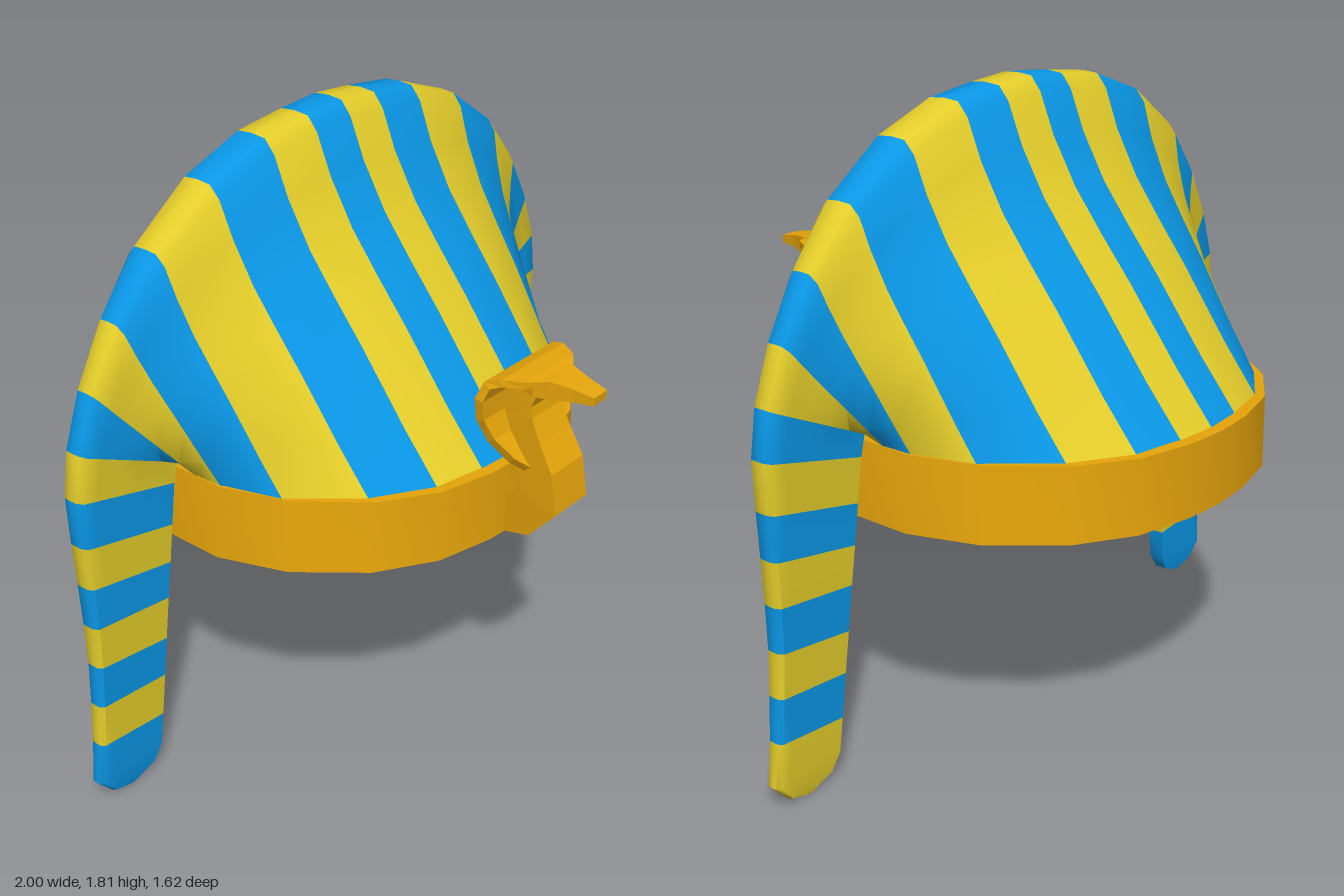
import * as THREE from 'three';
import { toCreasedNormals } from 'three/addons/utils/BufferGeometryUtils.js';

const ZC = -0.11; // depth of the ridge plane

function material(name, color, side = THREE.FrontSide) {
  const m = new THREE.MeshStandardMaterial({ color, side });
  m.name = name;
  return m;
}

// Striped cloth: [ridge x, ridge y, lower x, lower y, lower half depth, ridge half depth]
const RIBS = [
  [0, 1.81, 0, 0.94, 0.67, 0.08],
  [0.135, 1.80, 0.13, 0.94, 0.66, 0.08],
  [0.30, 1.78, 0.285, 0.94, 0.63, 0.08],
  [0.50, 1.71, 0.445, 0.94, 0.53, 0.075],
  [0.69, 1.58, 0.59, 0.94, 0.36, 0.065],
  [0.825, 1.43, 0.645, 0.94, 0.19, 0.048],
  [0.92, 1.27, 0.65, 0.945, 0.10, 0.04],
  [0.975, 1.12, 0.66, 0.97, 0.038, 0.038],
  [0.995, 0.99, 0.672, 0.91, 0.036, 0.036],
  [0.99, 0.85, 0.687, 0.785, 0.034, 0.034],
  [0.983, 0.72, 0.701, 0.67, 0.033, 0.033],
  [0.977, 0.59, 0.716, 0.56, 0.032, 0.032],
  [0.974, 0.46, 0.731, 0.43, 0.030, 0.030],
  [0.979, 0.33, 0.745, 0.31, 0.028, 0.028],
  [0.986, 0.20, 0.76, 0.18, 0.026, 0.026],
  [1, 0.07, 0.772, 0.08, 0.024, 0.024],
  [0.955, 0.02, 0.80, 0.03, 0.02, 0.02],
  [0.89, 0, 0.87, 0, 0.015, 0.015],
];

// Half of one rib: ridge edge first, then the slope towards the band
function ribSide(rib) {
  const [rx, ry, bx, by, b, h] = rib;
  const slope = [[0.08, 0.18], [0.21, 0.33], [0.36, 0.46], [0.53, 0.6], [0.79, 0.83], [1, 1]];
  const steps = [[0, 0], [h * 0.6, 0.005], [h, 0.05], ...slope.map(([u, v]) => [h + (b - h) * u, v])];
  return steps.map(([d, v]) => [rx + (bx - rx) * v, ry + (by - ry) * v, d]);
}

function headcloth(materials) {
  const last = RIBS.length - 1;
  const pos = [], faces = [[], []];
  let n = 0;
  for (let k = -last; k <= last; k++) {
    const side = ribSide(RIBS[Math.abs(k)]);
    const s = k < 0 ? -1 : 1;
    const loop = [
      ...side.slice().reverse().map(([x, y, d]) => [s * x, y, ZC + d]),
      ...side.slice(1).map(([x, y, d]) => [s * x, y, ZC - d]),
    ];
    n = loop.length;
    loop.forEach(p => pos.push(...p));
  }
  for (let k = -last; k < last; k++) {
    const a = (k + last) * n, b = a + n;
    const inLappet = k >= 7 || k < -7;
    // the last three rows at each tip share one colour
    const stripe = Math.max(-15, Math.min(14, k));
    const list = faces[Math.abs(stripe) % 2];
    for (let j = 0; j < (inLappet ? n : n - 1); j++) {
      const q = (j + 1) % n;
      list.push(a + j, b + j, b + q, a + j, b + q, a + q);
    }
  }
  let geo = new THREE.BufferGeometry();
  geo.setAttribute('position', new THREE.Float32BufferAttribute(pos, 3));
  geo.setIndex([...faces[0], ...faces[1]]);
  geo.addGroup(0, faces[0].length, 0);
  geo.addGroup(faces[0].length, faces[1].length, 1);
  geo = toCreasedNormals(geo, 0.8);
  return new THREE.Mesh(geo, materials);
}

// Ring around the brow, slightly wider at the bottom
function headband(mat) {
  const quarter = [[0, 0.70], [0.13, 0.69], [0.3, 0.65], [0.46, 0.55], [0.6, 0.38], [0.67, 0.19]];
  const right = [...quarter, ...quarter.slice().reverse().map(([x, z]) => [x, -z])];
  const ring = [...right, ...right.slice(1, -1).reverse().map(([x, z]) => [-x, z])];
  const outline = f => ring.map(([x, z]) => new THREE.Vector2(x * f, z * f));
  const shape = new THREE.Shape(outline(1).reverse());
  shape.holes.push(new THREE.Path(outline(0.95)));
  let geo = new THREE.ExtrudeGeometry(shape, { depth: 0.21, bevelEnabled: false });
  geo.rotateX(-Math.PI / 2);
  const p = geo.attributes.position;
  for (let i = 0; i < p.count; i++) p.setX(i, p.getX(i) * (1.006 - 0.14 * p.getY(i)));
  geo.translate(0, 0.74, ZC);
  geo = toCreasedNormals(geo, 0.6);
  return new THREE.Mesh(geo, mat);
}

// Four-sided tube along a path in the yz plane: [z, y, half width, half thickness]
function loft(path, mat, name) {
  const pos = [], idx = [];
  path.forEach(([z, y, w, t], i) => {
    const p = path[Math.max(i - 1, 0)], q = path[Math.min(i + 1, path.length - 1)];
    const len = Math.hypot(q[0] - p[0], q[1] - p[1]);
    const ny = -(q[0] - p[0]) / len * t, nz = (q[1] - p[1]) / len * t;
    pos.push(-w, y + ny, z + nz, w, y + ny, z + nz, w, y - ny, z - nz, -w, y - ny, z - nz);
  });
  for (let i = 0; i < path.length - 1; i++) {
    for (let j = 0; j < 4; j++) {
      const a = i * 4 + j, b = i * 4 + (j + 1) % 4;
      idx.push(a, b, b + 4, a, b + 4, a + 4);
    }
  }
  const e = (path.length - 1) * 4;
  idx.push(0, 2, 1, 0, 3, 2, e, e + 1, e + 2, e, e + 2, e + 3);
  let geo = new THREE.BufferGeometry();
  geo.setAttribute('position', new THREE.Float32BufferAttribute(pos, 3));
  geo.setIndex(idx);
  geo = geo.toNonIndexed();
  geo.computeVertexNormals();
  const mesh = new THREE.Mesh(geo, mat);
  mesh.name = name;
  return mesh;
}

export function createModel() {
  const blue = material('blue cloth', 0x0a97e6, THREE.DoubleSide);
  const yellow = material('yellow cloth', 0xe4cd2a, THREE.DoubleSide);
  const gold = material('gold', 0xe6a50a);

  const model = new THREE.Group();
  model.name = 'stripedHeaddress';

  // Even rows are yellow on the left of centre and blue on the right
  const cloth = headcloth([yellow, blue]);
  cloth.name = 'stripedHeadcloth';
  const band = headband(gold);
  band.name = 'headband';

  // Rearing snake ornament on the brow
  const snake = new THREE.Group();
  snake.name = 'snakeOrnament';
  snake.add(
    loft([
      [0.57, 0.785, 0.075, 0.045], [0.63, 0.81, 0.075, 0.06], [0.69, 0.87, 0.075, 0.058],
      [0.675, 0.95, 0.073, 0.055], [0.63, 1.025, 0.07, 0.056], [0.597, 1.10, 0.068, 0.055],
      [0.60, 1.16, 0.066, 0.048], [0.635, 1.195, 0.064, 0.03],
    ], gold, 'snakeNeck'),
    loft([
      [0.60, 1.205, 0.06, 0.02], [0.65, 1.205, 0.07, 0.028], [0.70, 1.203, 0.055, 0.026],
      [0.75, 1.203, 0.04, 0.019], [0.81, 1.2, 0.03, 0.012],
    ], gold, 'snakeHead'),
    loft([
      [0.66, 0.95, 0.06, 0.012], [0.62, 0.99, 0.105, 0.013], [0.575, 1.05, 0.14, 0.013],
      [0.55, 1.11, 0.158, 0.013], [0.548, 1.17, 0.165, 0.013], [0.565, 1.215, 0.155, 0.012],
      [0.60, 1.227, 0.142, 0.01], [0.65, 1.225, 0.11, 0.01], [0.685, 1.22, 0.06, 0.008],
    ], gold, 'snakeHood'),
  );

  model.add(cloth, band, snake);
  return model;
}
